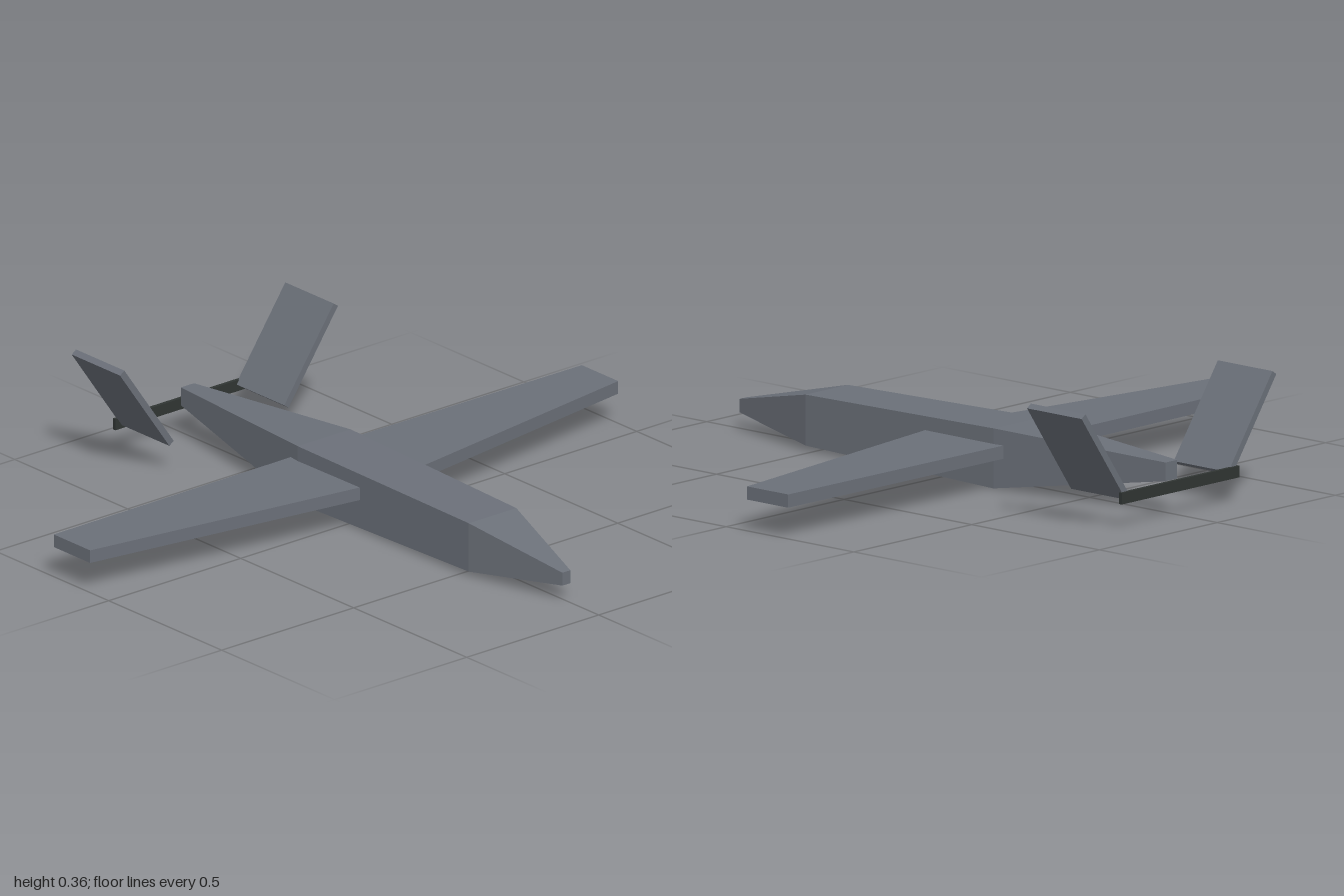
import * as THREE from 'three';

// Closed body lofted through four-cornered sections (corner loops run counter-clockwise seen from the last section)
function loft(sections) {
  const pos = [];
  const quad = (a, b, c, d) => pos.push(...a, ...b, ...c, ...a, ...c, ...d);
  for (let i = 0; i < sections.length - 1; i++) {
    const p = sections[i], q = sections[i + 1];
    for (let k = 0; k < 4; k++) {
      const n = (k + 1) % 4;
      quad(p[k], p[n], q[n], q[k]);
    }
  }
  const s = sections[0], e = sections[sections.length - 1];
  quad(s[3], s[2], s[1], s[0]);
  quad(e[0], e[1], e[2], e[3]);
  const g = new THREE.BufferGeometry();
  g.setAttribute('position', new THREE.Float32BufferAttribute(pos, 3));
  g.computeVertexNormals();
  return g;
}

export function createModel() {
  const model = new THREE.Group();
  model.name = 'aircraft';

  const grey = new THREE.MeshStandardMaterial({ color: 0x6b7079 });
  grey.name = 'airframe grey';
  const dark = new THREE.MeshStandardMaterial({ color: 0x303533 });
  dark.name = 'propeller dark';

  const add = (name, geometry, material) => {
    const mesh = new THREE.Mesh(geometry, material);
    mesh.name = name;
    model.add(mesh);
    return mesh;
  };

  // Fuselage: z, half width, bottom, top from tail to nose
  const fuselage = [
    [-0.82, 0.025, 0.103, 0.158],
    [-0.215, 0.1, 0.004, 0.181],
    [0.53, 0.09, 0.018, 0.168],
    [0.857, 0.015, 0.055, 0.095],
  ].map(([z, w, b, t]) => [[-w, b, z], [w, b, z], [w, t, z], [-w, t, z]]);
  add('fuselage', loft(fuselage), grey);

  // Wing: x, trailing edge z, leading edge z from right tip to left tip
  const wing = [
    [-1, -0.243, -0.082],
    [0, -0.252, 0.07],
    [1, -0.243, -0.082],
  ].map(([x, back, front]) => [[x, 0.096, front], [x, 0.096, back], [x, 0.135, back], [x, 0.135, front]]);
  add('wing', loft(wing), grey);

  // Splayed tail fins
  for (const side of [-1, 1]) {
    const fin = add(side > 0 ? 'leftTailFin' : 'rightTailFin', new THREE.BoxGeometry(0.326, 0.02, 0.214), grey);
    fin.position.set(side * 0.311, 0.225, -0.743);
    fin.rotation.z = side * THREE.MathUtils.degToRad(55);
  }

  // Pusher propeller blade
  add('propeller', new THREE.BoxGeometry(0.5, 0.034, 0.011), dark).position.set(0, 0.093, -0.8515);

  return model;
}
